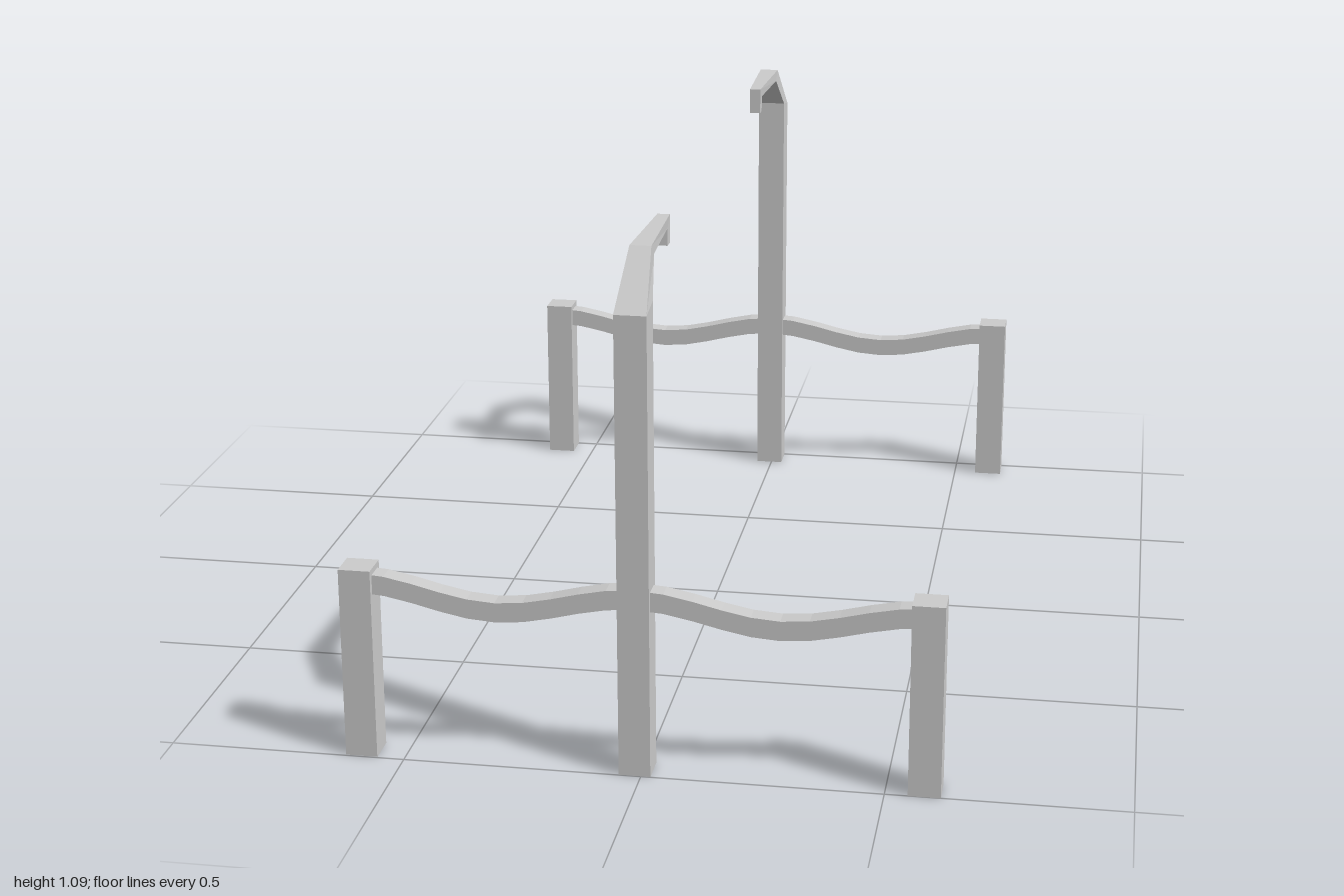
import * as THREE from 'three';

const material = new THREE.MeshStandardMaterial({ color: 0xcccccc, flatShading: true });

// Joins four-cornered cross-sections into a capped solid.
// Corners run counter-clockwise when looking back along the path from its end.
function loft(sections) {
  const positions = sections.flat(2);
  const index = [];
  for (let i = 0; i < sections.length - 1; i++) {
    for (let j = 0; j < 4; j++) {
      const a = i * 4 + j, b = i * 4 + (j + 1) % 4;
      index.push(a, b, b + 4, a, b + 4, a + 4);
    }
  }
  const e = (sections.length - 1) * 4;
  index.push(0, 2, 1, 0, 3, 2, e, e + 1, e + 2, e, e + 2, e + 3);
  const geometry = new THREE.BufferGeometry();
  geometry.setAttribute('position', new THREE.Float32BufferAttribute(positions, 3));
  geometry.setIndex(index);
  const flat = geometry.toNonIndexed();
  flat.computeVertexNormals();
  return flat;
}

function add(parent, name, geometry, x = 0, y = 0, z = 0) {
  const mesh = new THREE.Mesh(geometry, material);
  mesh.name = name;
  mesh.position.set(x, y, z);
  parent.add(mesh);
}

const POST = 0.067;
const SPAN = 0.586;

// Tall upright that bends inward and tapers to a small hook.
// Each row: outer depth, outer height, inner depth, inner height, width.
function uprightGeometry() {
  const rows = [
    [0, 0, 0.067, 0, 0.066],
    [0, 0.983, 0.067, 0.995, 0.066],
    [0.115, 1.093, 0.143, 1.07, 0.044],
    [0.367, 1.093, 0.34, 1.07, 0.026],
    [0.367, 1.033, 0.34, 1.033, 0.026],
  ];
  return loft(rows.map(([zo, yo, zi, yi, w]) => [
    [-w / 2, yo, POST / 2 - zo],
    [w / 2, yo, POST / 2 - zo],
    [w / 2, yi, POST / 2 - zi],
    [-w / 2, yi, POST / 2 - zi],
  ]));
}

// Sagging rail between an outer post and the upright.
function railGeometry(x0, x1) {
  const sections = [];
  const steps = 10, h = 0.042, d = 0.021;
  for (let i = 0; i <= steps; i++) {
    const t = i / steps;
    const x = x0 + (x1 - x0) * t;
    const top = 0.404 - 0.0235 * (1 - Math.cos(2 * Math.PI * t));
    sections.push([[x, top - h, d], [x, top - h, -d], [x, top, -d], [x, top, d]]);
  }
  return loft(sections);
}

// One frame: an upright, two short posts and two rails
function buildFrame(name, shift) {
  const frame = new THREE.Group();
  frame.name = name;
  add(frame, 'hookedUpright', uprightGeometry(), shift);
  for (const [side, s] of [['left', 1], ['right', -1]]) {
    add(frame, side + 'Post', new THREE.BoxGeometry(POST, 0.414, POST), s * SPAN, 0.207);
  }
  add(frame, 'rightRail', railGeometry(-SPAN, shift));
  add(frame, 'leftRail', railGeometry(shift, SPAN));
  return frame;
}

export function createModel() {
  const model = new THREE.Group();
  model.name = 'hookedStands';

  const front = buildFrame('frontFrame', -0.008);
  front.position.set(-0.005, 0, 0.965);
  front.rotation.y = -0.004;

  const back = buildFrame('backFrame', 0.008);
  back.position.set(0.002, 0, -0.966);
  back.rotation.y = Math.PI;

  model.add(front, back);
  return model;
}
